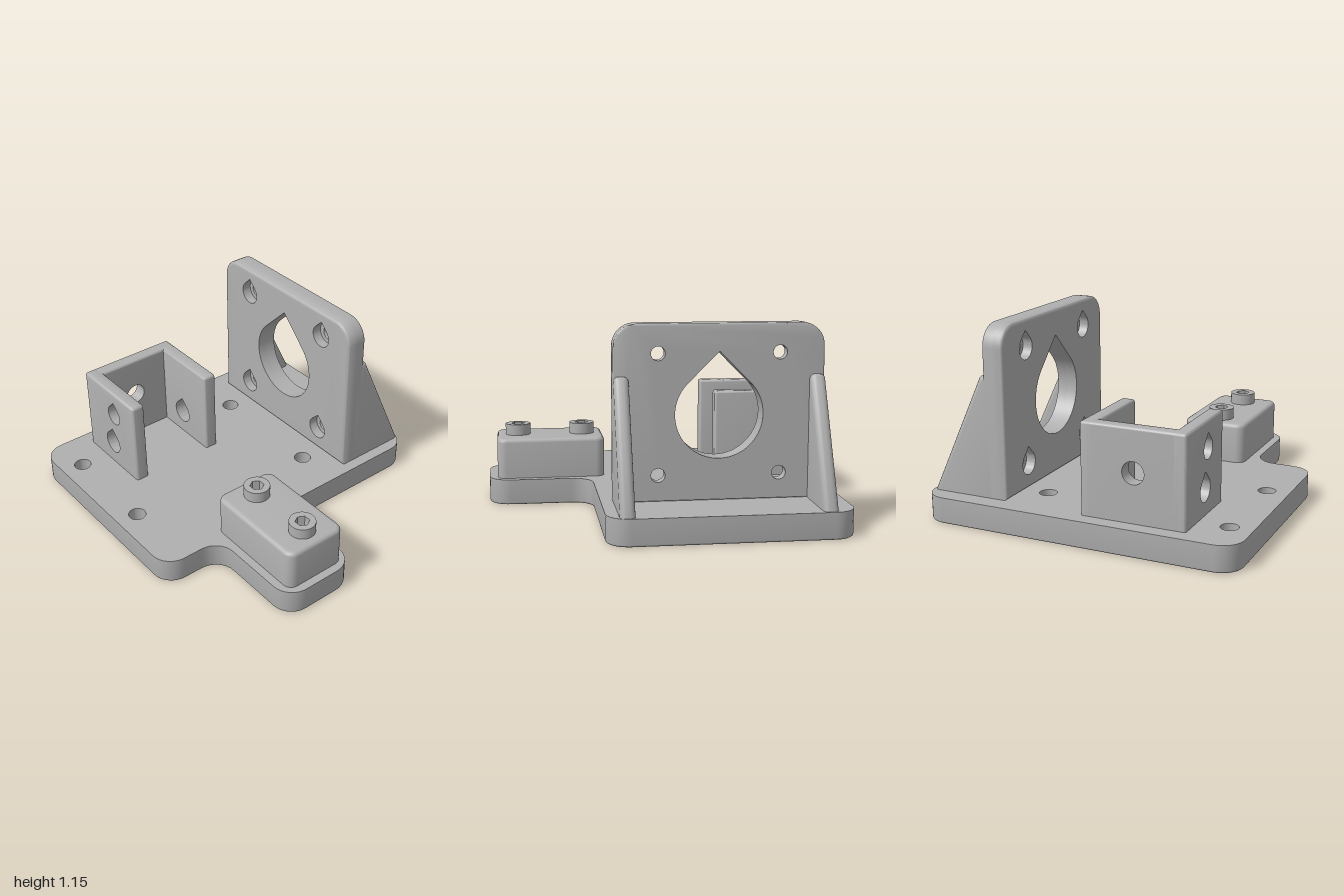
import * as THREE from 'three';
import { toCreasedNormals } from 'three/addons/utils/BufferGeometryUtils.js';

const V = (x, y) => new THREE.Vector2(x, y);
const grey = new THREE.MeshStandardMaterial({ color: 0xb0b0b0 });
grey.name = 'grey plastic';

// Counter-clockwise polygon with each corner [x, y, radius] rounded
function rounded(corners, seg = 8) {
  const out = [];
  corners.forEach(([x, y, r], i) => {
    const p = V(x, y);
    if (!r) { out.push(p); return; }
    const n = corners.length, a = corners[(i + n - 1) % n], b = corners[(i + 1) % n];
    const u = V(a[0], a[1]).sub(p).normalize(), v = V(b[0], b[1]).sub(p).normalize();
    const half = Math.acos(u.dot(v)) / 2;
    const c = p.clone().addScaledVector(u.clone().add(v).normalize(), r / Math.sin(half));
    const s = p.clone().addScaledVector(u, r / Math.tan(half)).sub(c);
    const e = p.clone().addScaledVector(v, r / Math.tan(half)).sub(c);
    const a0 = Math.atan2(s.y, s.x);
    const sweep = Math.atan2(s.x * e.y - s.y * e.x, s.dot(e));
    for (let k = 0; k <= seg; k++) {
      const t = a0 + sweep * k / seg;
      out.push(V(c.x + r * Math.cos(t), c.y + r * Math.sin(t)));
    }
  });
  return out;
}

const rect = (x0, y0, x1, y1, rBottom = 0, rTop = rBottom, seg = 8) =>
  rounded([[x0, y0, rBottom], [x1, y0, rBottom], [x1, y1, rTop], [x0, y1, rTop]], seg);

function circle(x, y, r, n = 40) {
  return Array.from({ length: n }, (_, i) =>
    V(x + r * Math.cos(i / n * Math.PI * 2), y + r * Math.sin(i / n * Math.PI * 2)));
}

// Round hole with a 45-degree pointed top
function teardrop(x, y, r, n = 36) {
  const pts = [V(x, y + r * Math.SQRT2)];
  for (let i = 0; i <= n; i++) {
    const t = Math.PI * (0.75 + 1.5 * i / n);
    pts.push(V(x + r * Math.cos(t), y + r * Math.sin(t)));
  }
  return pts;
}

// Move every edge of a polygon inwards by d
function inset(pts, d) {
  const n = pts.length;
  return pts.map((p, i) => {
    const u = p.clone().sub(pts[(i + n - 1) % n]).normalize();
    const v = pts[(i + 1) % n].clone().sub(p).normalize();
    const m = V(-u.y - v.y, u.x + v.x).normalize();
    return p.clone().addScaledVector(m, d / Math.max(0.3, m.dot(V(-u.y, u.x))));
  });
}

// Prism from z0 to z1 with sharp holes and outer edges filleted by f0 and f1
function solid(outline, holes, z0, z1, f0 = 0, f1 = 0) {
  const pos = [];
  const put = (p, z) => pos.push(p.x, p.y, z);
  const wall = (A, za, B, zb) => A.forEach((a, i) => {
    const j = (i + 1) % A.length;
    put(a, za); put(A[j], za); put(B[j], zb);
    put(a, za); put(B[j], zb); put(B[i], zb);
  });
  const cuts = holes.map(h => h.slice().reverse());
  const steps = 4, levels = [];
  for (let k = 0; k <= (f0 ? steps : 0); k++) {
    const t = f0 ? Math.PI / 2 * (1 - k / steps) : 0;
    levels.push([f0 * (1 - Math.cos(t)), z0 + f0 * (1 - Math.sin(t))]);
  }
  for (let k = 0; k <= (f1 ? steps : 0); k++) {
    const t = Math.PI / 2 * k / steps;
    levels.push([f1 * (1 - Math.cos(t)), z1 - f1 * (1 - Math.sin(t))]);
  }
  const rings = levels.map(([d]) => (d ? inset(outline, d) : outline));
  for (let k = 0; k + 1 < rings.length; k++) wall(rings[k], levels[k][1], rings[k + 1], levels[k + 1][1]);
  cuts.forEach(c => wall(c, z0, c, z1));
  const cap = (ring, z, flip) => {
    const all = ring.concat(...cuts);
    THREE.ShapeUtils.triangulateShape(ring.slice(), cuts.map(c => c.slice())).forEach(([a, b, c]) => {
      put(all[a], z); put(all[flip ? c : b], z); put(all[flip ? b : c], z);
    });
  };
  cap(rings[0], z0, true);
  cap(rings[rings.length - 1], z1, false);
  const g = new THREE.BufferGeometry();
  g.setAttribute('position', new THREE.Float32BufferAttribute(pos, 3));
  return g;
}

export function createModel() {
  const model = new THREE.Group();
  const add = (name, geometry, parent = model) => {
    const mesh = new THREE.Mesh(toCreasedNormals(geometry, 0.6), grey);
    mesh.name = name;
    parent.add(mesh);
  };
  const group = name => {
    const g = new THREE.Group();
    g.name = name;
    model.add(g);
    return g;
  };
  const flat = g => g.rotateX(-Math.PI / 2);    // profile drawn as (x, -z)
  const sideways = g => g.rotateY(Math.PI / 2); // profile drawn as (-z, y)
  const top = 0.155;

  // Base plate with side tab and four screw holes
  const R = 0.13;
  const baseOutline = rounded([
    [-1, -0.955, R], [0.375, -0.955, R], [0.375, -0.575, R], [1, -0.575, R],
    [1, -0.085, R], [0.375, -0.085, R], [0.375, 0.955, R], [-1, 0.955, R]]);
  const baseHoles = [[-0.67, 0.315], [0.085, 0.315], [-0.735, -0.82], [-0.115, -0.82]]
    .map(([x, y]) => circle(x, y, 0.052));
  add('basePlate', flat(solid(baseOutline, baseHoles, 0, top, 0.012, 0)));

  // Upright mounting plate: counterbored front layer, plain back layer
  const mount = group('mountingPlate');
  const mountOutline = rect(-0.89, top, 0.305, 1.155, 0, R);
  const screws = [[-0.635, 0.99], [0.055, 0.99], [-0.635, 0.305], [0.055, 0.305]];
  const opening = teardrop(-0.29, 0.645, 0.25, 56);
  add('mountFront', solid(mountOutline,
    [opening, ...screws.map(([x, y]) => teardrop(x, y, 0.07))], -0.52, -0.46, 0, 0.02), mount);
  add('mountBack', solid(mountOutline,
    [opening, ...screws.map(([x, y]) => circle(x, y, 0.04))], -0.588, -0.52, 0.01, 0), mount);

  // Triangular gussets behind the upright plate
  for (const [name, x] of [['rightGusset', -0.89], ['leftGusset', 0.22]]) {
    const profile = rounded([[0.53, 0.1, 0], [0.945, 0.1, 0], [0.945, 0.16, 0],
      [0.617, 0.865, 0.025], [0.53, 0.865, 0]], 5);
    add(name, sideways(solid(profile, [], x, x + 0.085, 0.03, 0.03)));
  }

  // U-shaped bracket with teardrop openings
  const bracket = group('bracket');
  const f = 0.015;
  const wallOutline = rect(-0.91, 0.1, -0.38, 0.69, 0, f, 4);
  add('bracketFrontWall', solid(wallOutline,
    [teardrop(-0.6, 0.53, 0.063), teardrop(-0.635, 0.305, 0.072)], 0.555, 0.64, f, f), bracket);
  add('bracketBackWall', solid(wallOutline, [teardrop(-0.635, 0.305, 0.072)], 0.02, 0.105, f, f), bracket);
  add('bracketSideWall', sideways(solid(rect(-0.61, 0.1, -0.05, 0.69),
    [circle(-0.335, 0.44, 0.065)], -0.91, -0.825, f, f)), bracket);

  // Raised block on the tab with two hollow pegs
  const pegs = [[0.42, -0.33], [0.82, -0.33]];
  const bores = pegs.map(([x, y]) => circle(x, y, 0.042, 6));
  add('tabBlock', flat(solid(rect(0.29, -0.525, 0.95, -0.13, 0.055), bores, 0.15, 0.4, 0, 0.025)));
  pegs.forEach(([x, y], i) => add(i ? 'leftPeg' : 'rightPeg',
    flat(solid(circle(x, y, 0.077), [bores[i]], 0.39, 0.467))));

  return model;
}
